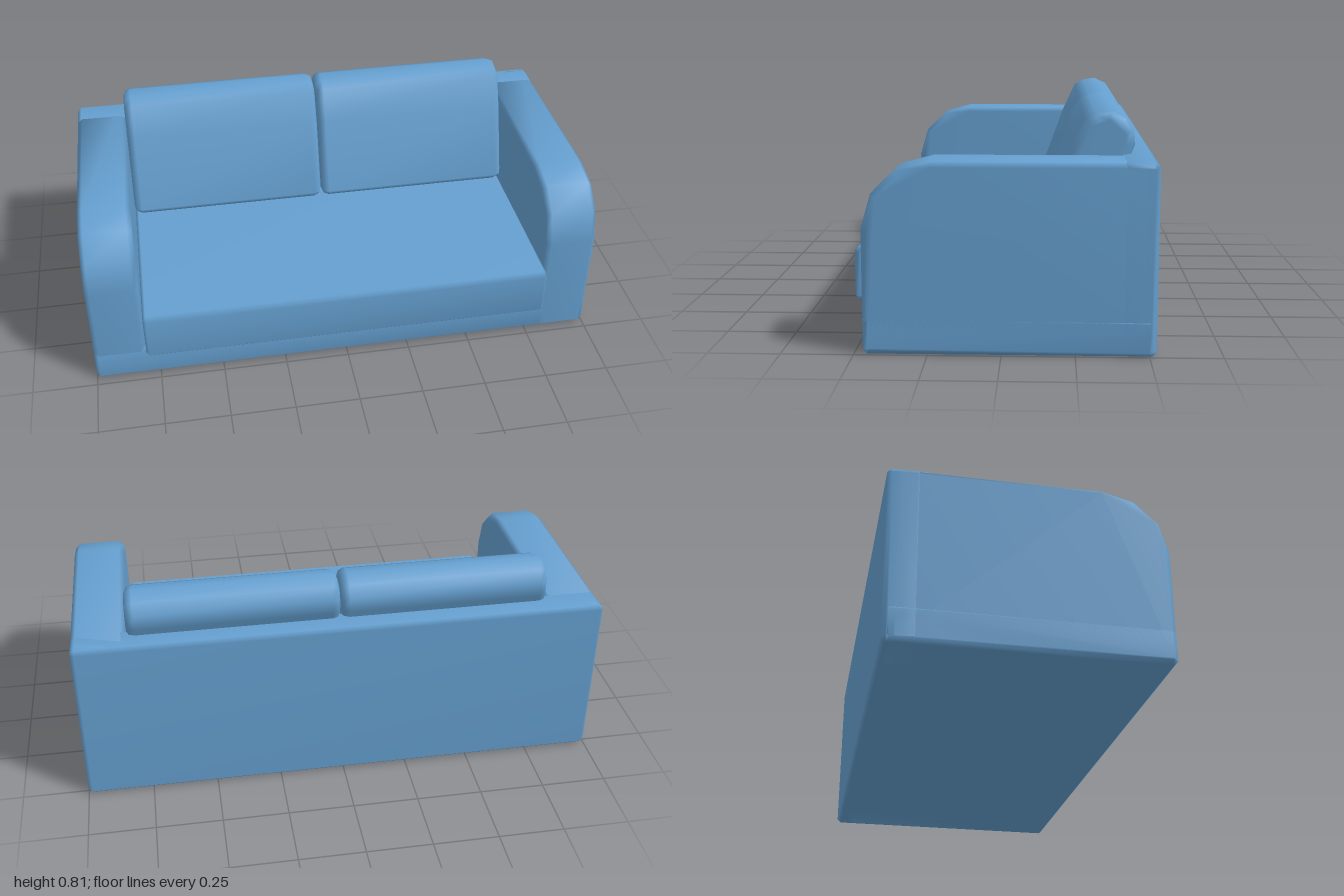
import * as THREE from 'three';
import { mergeVertices } from 'three/addons/utils/BufferGeometryUtils.js';

const fabric = new THREE.MeshStandardMaterial({ color: 0x659fcf });
fabric.name = 'blueFabric';

// Extrudes a side profile of [z, y] points from x0 to x1, with softened end edges
function slab(name, profile, x0, x1, bevel, bevelSegments = 1) {
  const shape = new THREE.Shape(profile.map(([z, y]) => new THREE.Vector2(z, y)));
  const depth = x1 - x0 - 2 * bevel;
  const extruded = new THREE.ExtrudeGeometry(shape, {
    depth, bevelEnabled: true, bevelThickness: bevel, bevelSize: bevel,
    bevelOffset: -bevel, bevelSegments,
  });
  extruded.translate(0, 0, -depth / 2);
  extruded.rotateY(-Math.PI / 2);
  extruded.translate((x0 + x1) / 2, 0, 0);
  // weld the corners so the shading runs smoothly over the bevels
  extruded.deleteAttribute('uv');
  extruded.deleteAttribute('normal');
  const geometry = mergeVertices(extruded, 1e-4);
  geometry.computeVertexNormals();
  const mesh = new THREE.Mesh(geometry, fabric);
  mesh.name = name;
  return mesh;
}

// Rectangle profile with cut corners
function chamfered(z0, z1, y0, y1, c) {
  return [
    [z0 + c, y0], [z1 - c, y0], [z1, y0 + c], [z1, y1 - c],
    [z1 - c, y1], [z0 + c, y1], [z0, y1 - c], [z0, y0 + c],
  ];
}

export function createModel() {
  const sofa = new THREE.Group();
  sofa.name = 'sofa';

  // Frame: base and back run the full width, the arms overlap them
  sofa.add(slab('base', chamfered(-0.52, 0.47, 0, 0.135, 0.015), -1, 1, 0.015));
  sofa.add(slab('backrest', chamfered(-0.525, -0.4, 0, 0.66, 0.015), -1, 1, 0.015));

  // Arms with a rounded front top
  const armProfile = [
    [-0.5, 0], [0.455, 0], [0.47, 0.015], [0.47, 0.43], [0.435, 0.55],
    [0.35, 0.63], [0.235, 0.66], [-0.5, 0.66],
  ];
  sofa.add(slab('leftArm', armProfile, 0.8, 1, 0.018));
  sofa.add(slab('rightArm', armProfile, -1, -0.8, 0.018));

  // One long seat cushion that juts out at the front
  sofa.add(slab('seatCushion', chamfered(-0.42, 0.525, 0.13, 0.33, 0.018), -0.797, 0.797, 0.012));

  // Two leaning back cushions
  const cushionProfile = [
    [-0.30, 0.30], [-0.15, 0.335], [-0.12, 0.37], [-0.225, 0.66], [-0.28, 0.78],
    [-0.32, 0.80], [-0.37, 0.81], [-0.425, 0.785], [-0.45, 0.74], [-0.455, 0.69],
  ];
  sofa.add(slab('leftBackCushion', cushionProfile, 0.002, 0.797, 0.03, 2));
  sofa.add(slab('rightBackCushion', cushionProfile, -0.797, -0.002, 0.03, 2));

  return sofa;
}
